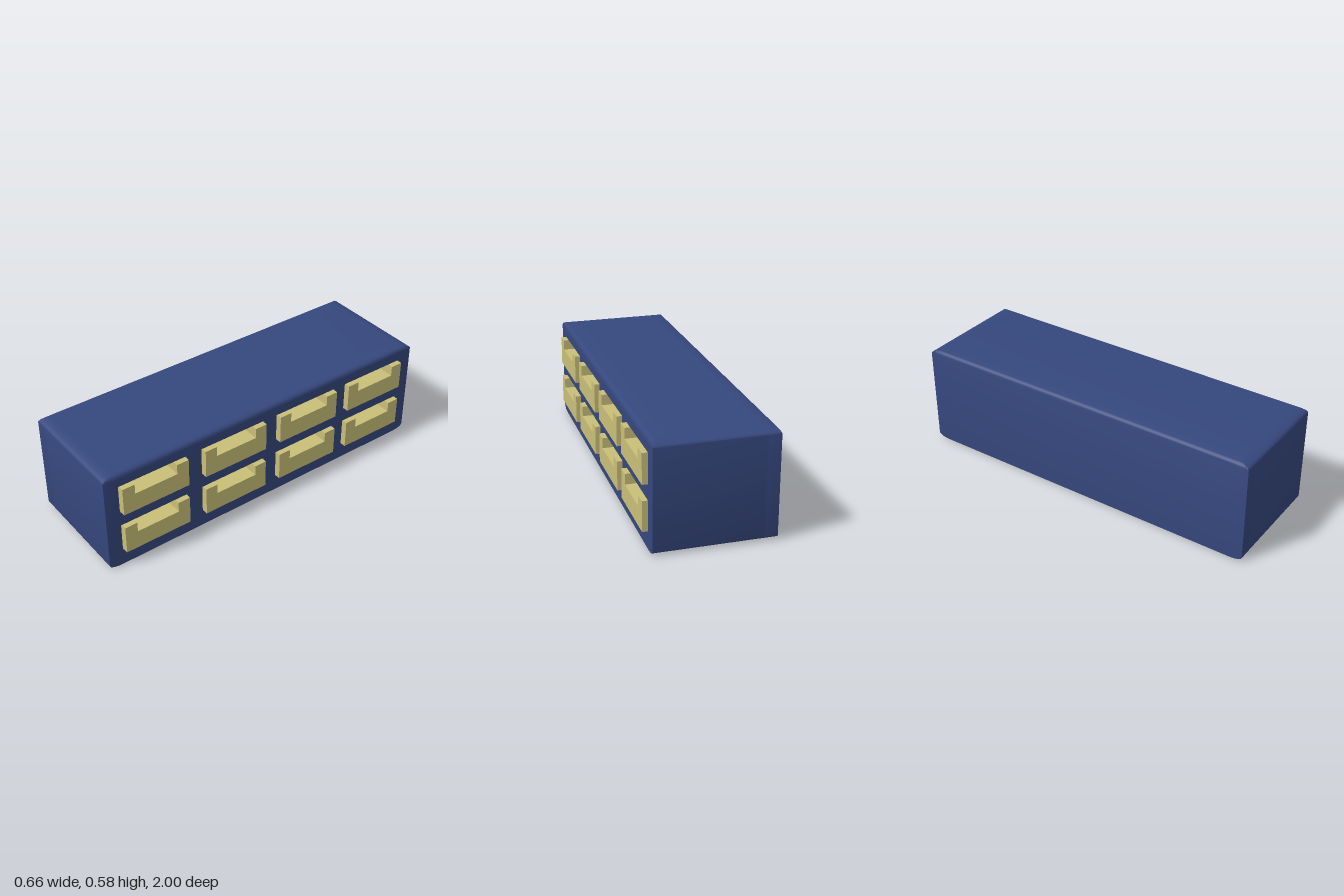
import * as THREE from 'three';
import { toCreasedNormals } from 'three/addons/utils/BufferGeometryUtils.js';

const H = 0.576, LEFT = -0.328, RIGHT = 0.3, RX = 0.027, RY = 0.025, RZ = 0.075;
const JOINT = -0.26; // back of the compartments
const DRAWER = { w: 0.386, h: 0.161, notchW: 0.246, notchH: 0.057 };
const COLUMNS = [0.719, 0.23, -0.25, -0.721];
const ROWS = [0.091, 0.336];
const GAP = 0.007;

// Side outline (drawn in -z, y) with rounded ends
function sideOutline() {
  const s = new THREE.Shape();
  const corner = (x, y, a) => s.absellipse(x, y, RZ, RY, a, a + Math.PI / 2, false, 0);
  corner(1 - RZ, RY, -Math.PI / 2);
  corner(1 - RZ, H - RY, 0);
  corner(-1 + RZ, H - RY, Math.PI / 2);
  corner(-1 + RZ, RY, Math.PI);
  s.closePath();
  return s;
}

// Rounded shoulder of the roof along both long edges
function roofHeight(x) {
  const d = Math.min(x - LEFT, RIGHT - x);
  if (d >= RX) return H;
  const t = 1 - Math.max(d, 0) / RX;
  return H - RY + RY * Math.sqrt(Math.max(0, 1 - t * t));
}

// Extrude an outline through a list of x stations, keeping it under the roof
function stationBody(shape, xs) {
  const n = xs.length - 1;
  const g = new THREE.ExtrudeGeometry(shape, { depth: 1, steps: n, bevelEnabled: false, curveSegments: 5 });
  const p = g.attributes.position;
  for (let i = 0; i < p.count; i++) {
    const x = xs[Math.round(p.getZ(i) * n)];
    p.setXYZ(i, x, Math.min(p.getY(i), roofHeight(x)), -p.getX(i));
  }
  return toCreasedNormals(g, 0.6);
}

function drawerGeometry() {
  const { w, h, notchW, notchH } = DRAWER;
  const a = w / 2, b = notchW / 2, sill = h - notchH;
  const s = new THREE.Shape([
    [-a, 0], [a, 0], [a, h], [b, h], [b, sill], [-b, sill], [-b, h], [-a, h],
  ].map(([x, y]) => new THREE.Vector2(x, y)));
  const depth = 0.327 - JOINT - 0.005;
  const g = new THREE.ExtrudeGeometry(s, { depth, bevelEnabled: false });
  return g.rotateY(Math.PI / 2).translate(0.327 - depth, 0, 0);
}

export function createModel() {
  const group = new THREE.Group();
  const blue = new THREE.MeshStandardMaterial({ color: 0x35477d });
  const khaki = new THREE.MeshStandardMaterial({ color: 0xcabf78 });
  const add = (name, geometry, material) => {
    const mesh = new THREE.Mesh(geometry, material);
    mesh.name = name;
    group.add(mesh);
    return mesh;
  };

  // Cabinet: solid back, and front section pierced by the compartments
  const arc = [0, 1, 2, 3, 4, 5].map((i) => RX * (1 - Math.cos((i / 5) * Math.PI / 2)));
  add('cabinetBack', stationBody(sideOutline(), [...arc.map((d) => LEFT + d), JOINT]), blue);

  const pierced = sideOutline();
  for (const z of COLUMNS) for (const y of ROWS) {
    const a = DRAWER.w / 2 + GAP, y0 = y - 0.001, y1 = y + DRAWER.h + 0.004;
    pierced.holes.push(new THREE.Path([
      [-z - a, y0], [-z - a, y1], [-z + a, y1], [-z + a, y0],
    ].map(([u, v]) => new THREE.Vector2(u, v))));
  }
  const frontStations = [JOINT, ...arc.map((d) => RIGHT - d).reverse()];
  add('cabinetFront', stationBody(pierced, frontStations), blue);

  // Two rows of four notched drawers
  const drawer = drawerGeometry();
  for (const z of COLUMNS) for (const y of ROWS) {
    add('drawer', drawer, khaki).position.set(0, y, z);
  }
  return group;
}
